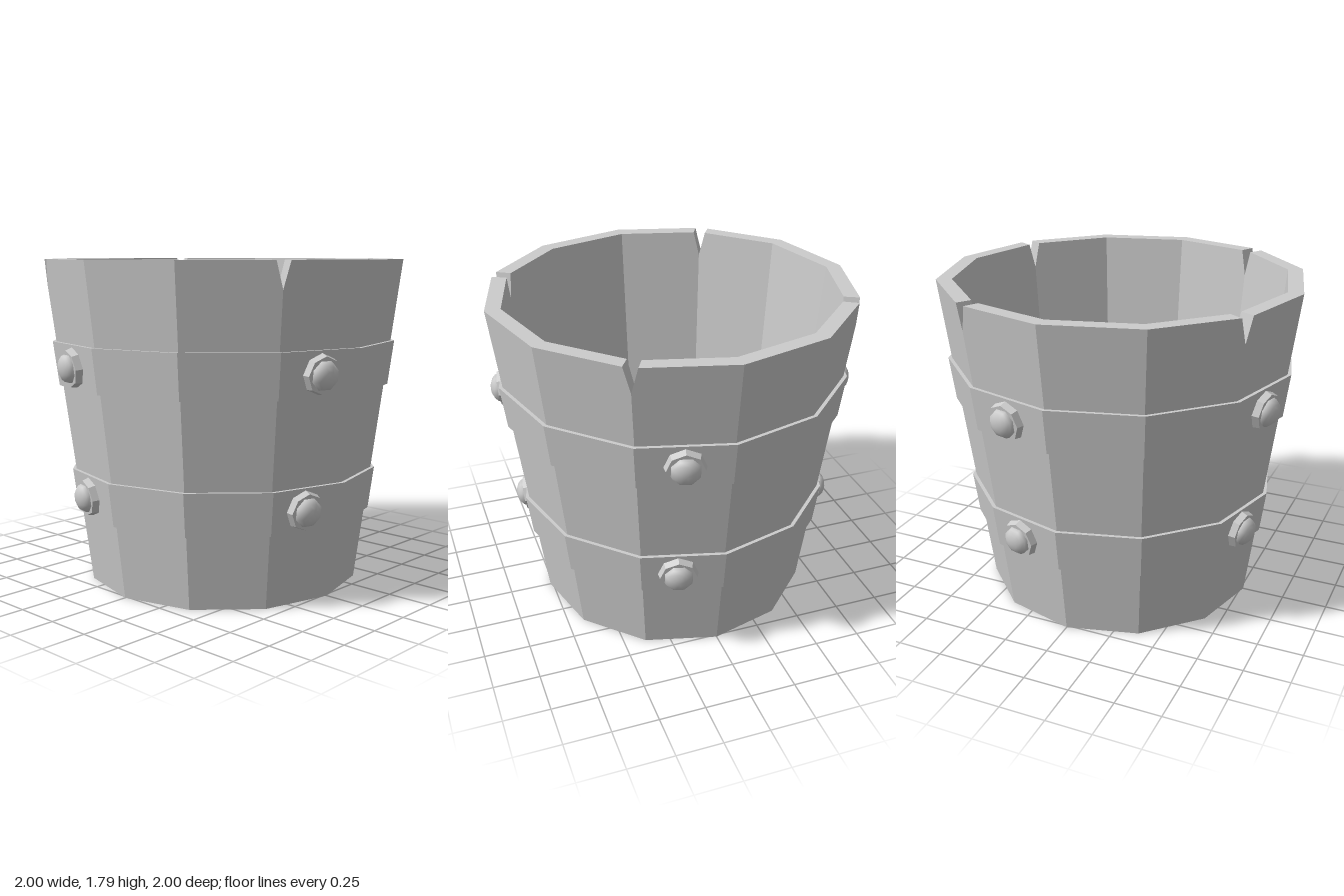
import * as THREE from 'three';

const SIDES = 12, HEIGHT = 1.79, FLOOR = 0.08, NOTCH_Y = 1.65;
const mat = (flatShading) => new THREE.MeshStandardMaterial({ color: 0xcccccc, flatShading });

// radii of the tapering wall at a given height
const outerR = (y) => 0.765 + (0.235 * y) / HEIGHT;
const innerR = (y) => 0.755 + (0.16 * (y - FLOOR)) / (HEIGHT - FLOOR);

const corner = (i) => {
  const a = (i / SIDES) * Math.PI * 2;
  return new THREE.Vector2(Math.sin(a), Math.cos(a));
};

// Wall, rim and floor: one cross-section per corner, three where the rim is notched
function bucketGeometry() {
  const sections = [];
  for (let i = 0; i < SIDES; i++) {
    const p = corner(i);
    if (i % 3 === 2) {
      sections.push({ p: p.clone().lerp(corner(i - 1), 0.075), top: HEIGHT });
      sections.push({ p, top: NOTCH_Y });
      sections.push({ p: p.clone().lerp(corner(i + 1), 0.075), top: HEIGHT });
    } else sections.push({ p, top: HEIGHT });
  }
  const profile = (top) => [
    [0, 0], [outerR(0), 0], [outerR(top), top],
    [innerR(top), top], [innerR(FLOOR), FLOOR], [0, FLOOR],
  ];
  const rings = sections.map(({ p, top }) =>
    profile(top).map(([r, y]) => new THREE.Vector3(p.x * r, y, p.y * r)));
  const pts = [];
  rings.forEach((s, i) => {
    const t = rings[(i + 1) % rings.length];
    for (let j = 0; j < s.length - 1; j++) {
      if (j < s.length - 2) pts.push(s[j], t[j + 1], s[j + 1]);
      if (j > 0) pts.push(s[j], t[j], t[j + 1]);
    }
  });
  const g = new THREE.BufferGeometry().setFromPoints(pts);
  g.computeVertexNormals();
  return g;
}

// Hoop that follows the taper of the wall
function hoopGeometry(y0, y1) {
  const lip = 0.02;
  const profile = [
    [outerR(y0) + lip, y0], [outerR(y1) + lip, y1],
    [outerR(y1) - 0.02, y1], [outerR(y0) - 0.02, y0], [outerR(y0) + lip, y0],
  ].map(([r, y]) => new THREE.Vector2(r, y));
  const g = new THREE.LatheGeometry(profile, SIDES).toNonIndexed();
  g.computeVertexNormals();
  return g;
}

// Domed rivet on an eight-sided washer, pointing along +z
function makeRivet() {
  const rivet = new THREE.Group();
  rivet.name = 'rivet';
  const washer = new THREE.Mesh(
    new THREE.CylinderGeometry(0.098, 0.11, 0.05, 8).rotateX(Math.PI / 2), mat(true));
  washer.name = 'washer';
  washer.position.z = 0.012;
  const dome = new THREE.Mesh(
    new THREE.SphereGeometry(0.08, 8, 4, 0, Math.PI * 2, 0, Math.PI / 2)
      .rotateY(Math.PI / 8).scale(1, 0.65, 1).rotateX(Math.PI / 2), mat(false));
  dome.name = 'rivetHead';
  dome.position.z = 0.035;
  rivet.add(washer, dome);
  return rivet;
}

export function createModel() {
  const model = new THREE.Group();
  model.name = 'bucket';

  const body = new THREE.Mesh(bucketGeometry(), mat(true));
  body.name = 'bucketBody';
  model.add(body);

  const apothem = Math.cos(Math.PI / SIDES);
  const tilt = Math.atan((0.235 / HEIGHT) * apothem);
  const hoops = [
    { name: 'lowerHoop', y0: 0.405, y1: 0.64, shift: -0.025 },
    { name: 'upperHoop', y0: 1.11, y1: 1.35, shift: 0 },
  ];
  for (const { name, y0, y1, shift } of hoops) {
    const hoop = new THREE.Mesh(hoopGeometry(y0, y1), mat(true));
    hoop.name = name;
    model.add(hoop);

    // four rivets a quarter turn apart
    const y = (y0 + y1) / 2;
    for (let k = 0; k < 4; k++) {
      const arm = new THREE.Group();
      arm.name = name + 'Rivet' + (k + 1);
      arm.rotation.y = -Math.PI / SIDES + (k * Math.PI) / 2;
      const rivet = makeRivet();
      rivet.position.set(shift, y, (outerR(y) + 0.02) * apothem);
      rivet.rotation.x = tilt;
      arm.add(rivet);
      model.add(arm);
    }
  }
  return model;
}
